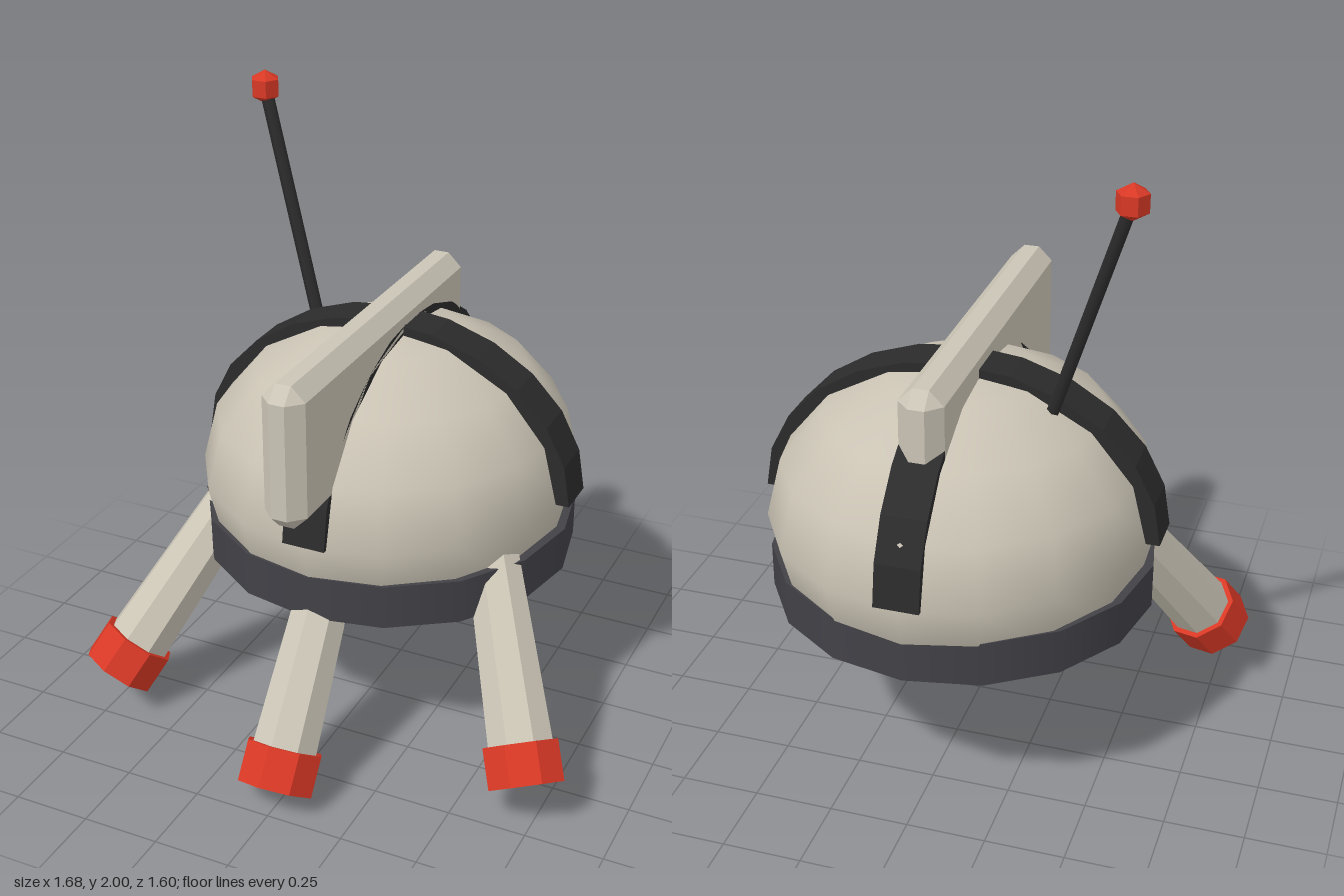
import * as THREE from 'three';
import { ConvexGeometry } from 'three/addons/geometries/ConvexGeometry.js';

const CZ = -0.16, CY = 0.815; // hull centre

export function createModel() {
  const group = new THREE.Group();
  const material = (name, color, flat = false) =>
    Object.assign(new THREE.MeshStandardMaterial({ color }), { name, flatShading: flat });
  const hullCream = material('hull cream', 0xcac3b4);
  const beltGrey = material('belt grey', 0x424147);
  const strapBlack = material('strap black', 0x2b2b2b);
  const red = material('signal red', 0xd83825, true);
  const cream = material('panel cream', 0xcbc5b6, true);

  const add = (name, geometry, mat, x = 0, y = 0, z = 0, parent = group) => {
    const mesh = new THREE.Mesh(geometry, mat);
    mesh.name = name;
    mesh.position.set(x, y, z);
    parent.add(mesh);
    return mesh;
  };

  // Egg-shaped hull and the belt around it
  const hull = new THREE.SphereGeometry(1, 16, 8).scale(0.61, 0.495, 0.64);
  add('hull', hull, hullCream, 0, CY, CZ);
  add('belt', new THREE.CylinderGeometry(0.61, 0.61, 0.145, 16), beltGrey, 0, 0.624, -0.155);

  // Two crossing half-round straps
  const arch = new THREE.Shape();
  const steps = 12;
  for (const [rx, ry, inner] of [[0.64, 0.515, false], [0.585, 0.46, true]]) {
    for (let i = 0; i <= steps; i++) {
      const a = Math.PI * (inner ? steps - i : i) / steps;
      const x = rx * Math.cos(a), y = ry * Math.sin(a);
      if (i === 0 && !inner) arch.moveTo(x, y);
      else arch.lineTo(x, y);
    }
  }
  arch.closePath();
  const strap = new THREE.ExtrudeGeometry(arch, { depth: 0.14, bevelEnabled: false });
  strap.translate(0, 0, -0.07);
  add('crossStrap', strap, strapBlack, 0, CY, CZ);
  add('lengthStrap', strap, strapBlack, 0, CY, CZ).rotation.y = Math.PI / 2;

  // Chamfered fin along the top
  const half = [0.07, 0.23, 0.612], c = 0.045;
  const corners = [];
  for (const sx of [-1, 1]) for (const sy of [-1, 1]) for (const sz of [-1, 1]) {
    for (let full = 0; full < 3; full++) {
      const p = half.map((h, i) => (i === full ? h : h - c));
      corners.push(new THREE.Vector3(p[0] * sx, p[1] * sy, p[2] * sz));
    }
  }
  add('fin', new ConvexGeometry(corners), cream, 0, 1.17, 0.013);

  // Splayed legs with octagonal feet; the origin is the centre of the sole
  const footGeo = new THREE.CylinderGeometry(0.125, 0.125, 0.128, 8).translate(0, 0.064, 0);
  const legGeo = new THREE.CylinderGeometry(0.085, 0.108, 0.68, 8).translate(0, 0.44, 0);
  const up = new THREE.Vector3(0, 1, 0);
  const addLeg = (name, sole, direction) => {
    const leg = new THREE.Group();
    leg.name = name;
    leg.position.set(...sole);
    leg.quaternion.setFromUnitVectors(up, new THREE.Vector3(...direction).normalize());
    add(name + 'Shaft', legGeo, cream, 0, 0, 0, leg);
    add(name + 'Foot', footGeo, red, 0, 0, 0, leg);
    group.add(leg);
  };
  addLeg('frontLeg', [0, 0.073, 0.698], [0, 1, -0.7]);
  addLeg('leftLeg', [0.726, 0.135, 0.435], [-0.49, 1, -0.65]);
  addLeg('rightLeg', [-0.726, 0.135, 0.435], [0.49, 1, -0.65]);

  // Slanted antenna with a red tip
  const base = new THREE.Vector3(-0.293, 1.2, -0.235);
  const tip = new THREE.Vector3(-0.54, 1.945, -0.355);
  const rodGeo = new THREE.CylinderGeometry(0.021, 0.021, base.distanceTo(tip), 6);
  const mid = base.clone().lerp(tip, 0.5);
  const rod = add('antennaRod', rodGeo, strapBlack, mid.x, mid.y, mid.z);
  rod.quaternion.setFromUnitVectors(up, tip.clone().sub(base).normalize());
  add('antennaTip', new THREE.SphereGeometry(0.055, 6, 3), red, tip.x, tip.y, tip.z);

  return group;
}
